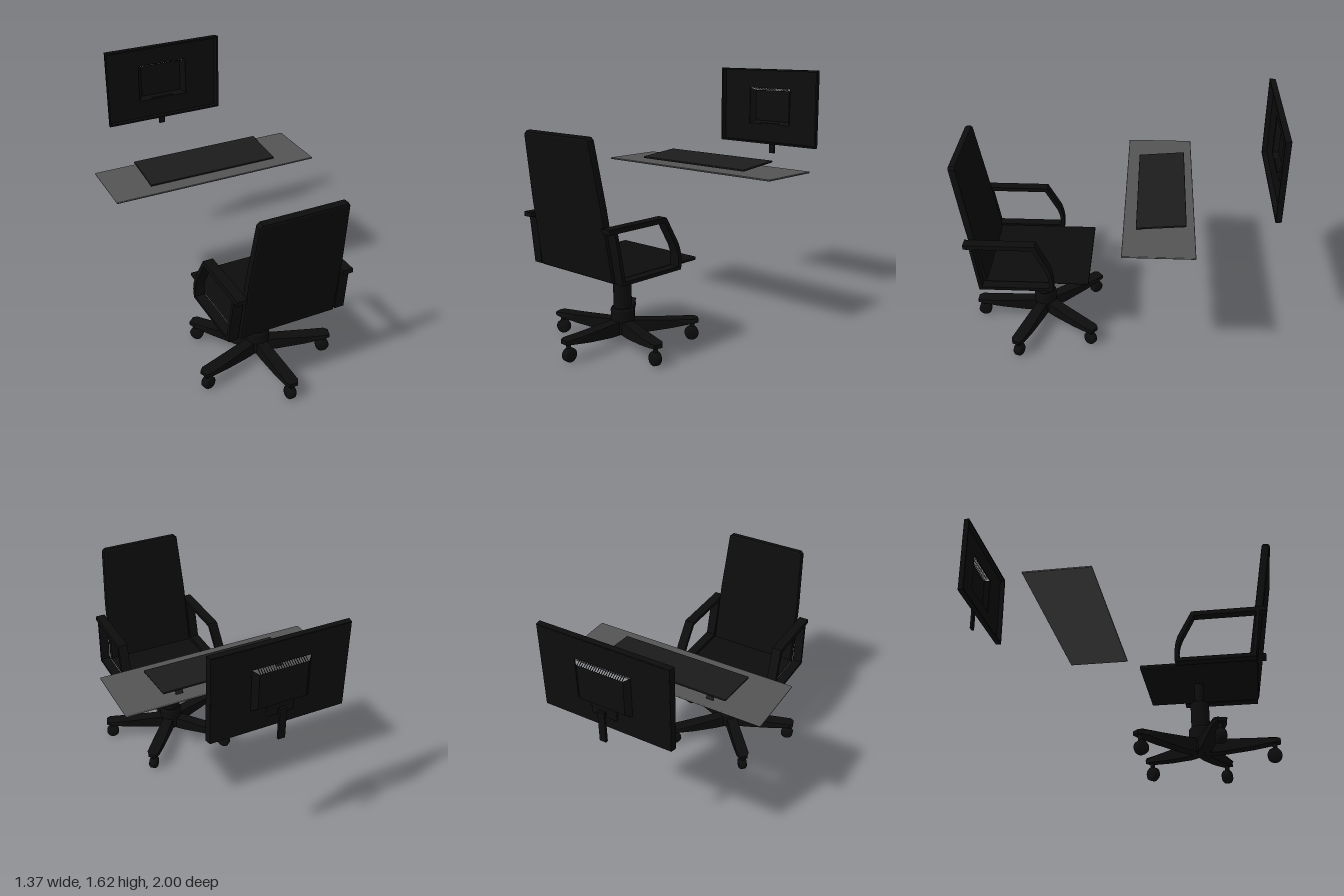
import * as THREE from 'three';
import { RoundedBoxGeometry } from 'three/addons/geometries/RoundedBoxGeometry.js';

const paint = (color) => new THREE.MeshStandardMaterial({ color, side: THREE.DoubleSide });
const black = paint(0x0d0d0d);
const keyDark = paint(0x1c1c1c);
const matGrey = paint(0x555555);

function add(parent, name, geometry, material, x = 0, y = 0, z = 0) {
  const mesh = new THREE.Mesh(geometry, material);
  mesh.name = name;
  mesh.position.set(x, y, z);
  parent.add(mesh);
  return mesh;
}

function group(parent, name) {
  const g = new THREE.Group();
  g.name = name;
  parent.add(g);
  return g;
}

const outline = (pts) => new THREE.Shape(pts.map(([x, y]) => new THREE.Vector2(x, y)));
const rect = (x0, y0, x1, y1) => outline([[x0, y0], [x1, y0], [x1, y1], [x0, y1]]);

// Moves every vertex by a rule
function reshape(geometry, rule) {
  const p = geometry.attributes.position;
  const v = new THREE.Vector3();
  for (let i = 0; i < p.count; i++) {
    v.fromBufferAttribute(p, i);
    rule(v);
    p.setXYZ(i, v.x, v.y, v.z);
  }
  geometry.computeVertexNormals();
  return geometry;
}

// Side profile given as (z, y), extruded along +x
function sideExtrude(pts, hole, width) {
  const s = outline(pts.map(([z, y]) => [-z, y]));
  if (hole) s.holes.push(outline(hole.map(([z, y]) => [-z, y])));
  return new THREE.ExtrudeGeometry(s, { depth: width, bevelEnabled: false }).rotateY(Math.PI / 2);
}

function buildChair(root) {
  const chair = group(root, 'chair');
  const cz = 0.505;

  // Seat and reclined backrest
  add(chair, 'seat', new RoundedBoxGeometry(0.62, 0.022, 0.68, 2, 0.008), black, 0, 0.526, 0.52);
  const back = new THREE.ExtrudeGeometry(
    outline([[-0.295, 0.012], [0.295, 0.012], [0.285, 0.42], [0.26, 0.795], [0.25, 0.805],
      [-0.25, 0.805], [-0.26, 0.795], [-0.285, 0.42]]),
    { depth: 0.022, bevelSize: 0.015, bevelThickness: 0.014, bevelSegments: 2 });
  add(chair, 'backrest', back, black, 0, 0.52, 0.833).rotation.x = 0.16;

  // Looped armrests leaning inwards at the top
  const arm = sideExtrude(
    [[0.938, 0.838], [0.5, 0.838], [0.415, 0.675], [0.402, 0.63], [0.395, 0.58], [0.395, 0.515],
      [0.86, 0.515], [0.9, 0.81], [0.938, 0.81]],
    [[0.88, 0.81], [0.515, 0.81], [0.44, 0.665], [0.425, 0.62], [0.42, 0.58], [0.42, 0.537], [0.84, 0.537]],
    0.063);
  reshape(arm, (v) => { v.x += 0.325 - (v.y > 0.6 ? 0.085 : 0.06) * Math.abs(v.y - 0.6); });
  add(chair, 'leftArmrest', arm, black);
  add(chair, 'rightArmrest', arm, black).scale.x = -1;

  // Gas lift column
  const column = [[0, 0.07], [0.068, 0.07], [0.073, 0.08], [0.073, 0.218], [0.066, 0.23], [0.056, 0.23],
    [0.056, 0.385], [0.052, 0.392], [0.029, 0.392], [0.029, 0.516], [0, 0.516]];
  const lift = new THREE.LatheGeometry(column.map(([r, y]) => new THREE.Vector2(r, y)), 32);
  add(chair, 'column', lift.toNonIndexed(), black, 0, 0, cz).geometry.computeVertexNormals();

  // Five tapering legs with casters
  const legShape = outline([[0, 0.068], [0.12, 0.07], [0.3, 0.092], [0.42, 0.112], [0.465, 0.115],
    [0.465, 0.138], [0.44, 0.142], [0.3, 0.143], [0.12, 0.15], [0, 0.155]]);
  const leg = new THREE.ExtrudeGeometry(legShape, { depth: 1, bevelEnabled: false });
  reshape(leg, (v) => {
    const half = v.x > 0.45 ? 0.026 : v.x > 0.2 ? 0.04 : 0.036;
    v.z = (v.z - 0.5) * 2 * half;
  });
  const wheelProfile = [[0, -0.027], [0.032, -0.027], [0.042, -0.017], [0.043, 0], [0.042, 0.017],
    [0.032, 0.027], [0, 0.027]].map(([r, y]) => new THREE.Vector2(r, y));
  const wheel = new THREE.LatheGeometry(wheelProfile, 24).rotateX(Math.PI / 2);
  const stem = new THREE.CylinderGeometry(0.014, 0.014, 0.06, 12);
  for (const degrees of [90, 18, 162, -50, -130]) {
    const spoke = group(chair, 'baseLeg');
    spoke.position.z = cz;
    spoke.rotation.y = -THREE.MathUtils.degToRad(degrees);
    add(spoke, 'leg', leg, black);
    add(spoke, 'casterStem', stem, black, 0.43, 0.09, 0);
    add(spoke, 'casterWheel', wheel, black, 0.425, 0.043, 0);
  }
}

function buildDeskItems(root) {
  // Desk mat
  add(root, 'deskMat', new RoundedBoxGeometry(1.365, 0.011, 0.42, 2, 0.005), matGrey, 0, 1.017, -0.25);

  // Tilted keyboard on two rear feet
  const keyboard = group(root, 'keyboard');
  keyboard.position.set(0, 1.053, -0.262);
  keyboard.rotation.x = 0.088;
  add(keyboard, 'keyboardBody', new RoundedBoxGeometry(0.866, 0.012, 0.295, 2, 0.004), keyDark);
  for (const side of [-1, 1]) {
    const foot = add(keyboard, 'keyboardFoot', new THREE.BoxGeometry(0.045, 0.034, 0.008), keyDark,
      side * 0.33, -0.017, -0.134);
    foot.rotation.x = 0.35;
  }
}

function buildMonitor(root) {
  const monitor = group(root, 'monitor');
  const [w, y0, y1] = [0.415, 1.093, 1.62];

  // Bezel ring, narrowing slightly to the rear
  const ring = rect(-w, y0, w, y1);
  ring.holes.push(rect(-w + 0.012, y0 + 0.012, w - 0.012, y1 - 0.012));
  const bezel = new THREE.ExtrudeGeometry(ring, { depth: 0.036, bevelEnabled: false });
  reshape(bezel, (v) => { if (v.z < 0.01) v.x *= 0.982; });
  add(monitor, 'bezel', bezel, black, 0, 0, -0.954);

  // Rear panel, open where the housing bulges out
  const panel = rect(-w + 0.01, y0 + 0.004, w - 0.01, y1 - 0.004);
  panel.holes.push(rect(-0.175, 1.23, 0.175, 1.485));
  add(monitor, 'rearPanel', new THREE.ExtrudeGeometry(panel, { depth: 0.006, bevelEnabled: false }),
    black, 0, 0, -0.955);

  // Hollow housing: three sloping sides and a flat back, open along the top
  const rim = [[-0.175, 1.23], [0.175, 1.23], [0.175, 1.485], [-0.175, 1.485]].map(([x, y]) => [x, y, -0.953]);
  const cap = [[-0.145, 1.25], [0.145, 1.25], [0.145, 1.468], [-0.145, 1.468]].map(([x, y]) => [x, y, -0.982]);
  const quads = [[rim[0], rim[1], cap[1], cap[0]], [rim[1], rim[2], cap[2], cap[1]],
    [rim[3], rim[0], cap[0], cap[3]], [cap[0], cap[1], cap[2], cap[3]]];
  const corners = quads.flatMap(([a, b, c, d]) => [a, c, b, a, d, c]).flat();
  const housing = new THREE.BufferGeometry();
  housing.setAttribute('position', new THREE.Float32BufferAttribute(corners, 3));
  housing.computeVertexNormals();
  add(monitor, 'rearHousing', housing, black);

  // Vent slats across the open top slope
  for (let i = -10; i <= 10; i++) {
    const slat = add(monitor, 'ventSlat', new THREE.BoxGeometry(0.003, 0.003, 0.034), black,
      i * 0.014, 1.4765, -0.9675);
    slat.rotation.x = -0.53;
  }

  // Mount and short neck
  add(monitor, 'mountPlate', new RoundedBoxGeometry(0.16, 0.07, 0.018, 2, 0.005), black, 0, 1.205, -0.961);
  add(monitor, 'mountPin', new THREE.BoxGeometry(0.03, 0.03, 0.03), black, 0, 1.2, -0.975);
  add(monitor, 'neck', new THREE.BoxGeometry(0.042, 0.2, 0.016), black, 0, 1.12, -0.991);
}

export function createModel() {
  const root = new THREE.Group();
  root.name = 'workstation';
  buildChair(root);
  buildDeskItems(root);
  buildMonitor(root);
  return root;
}
